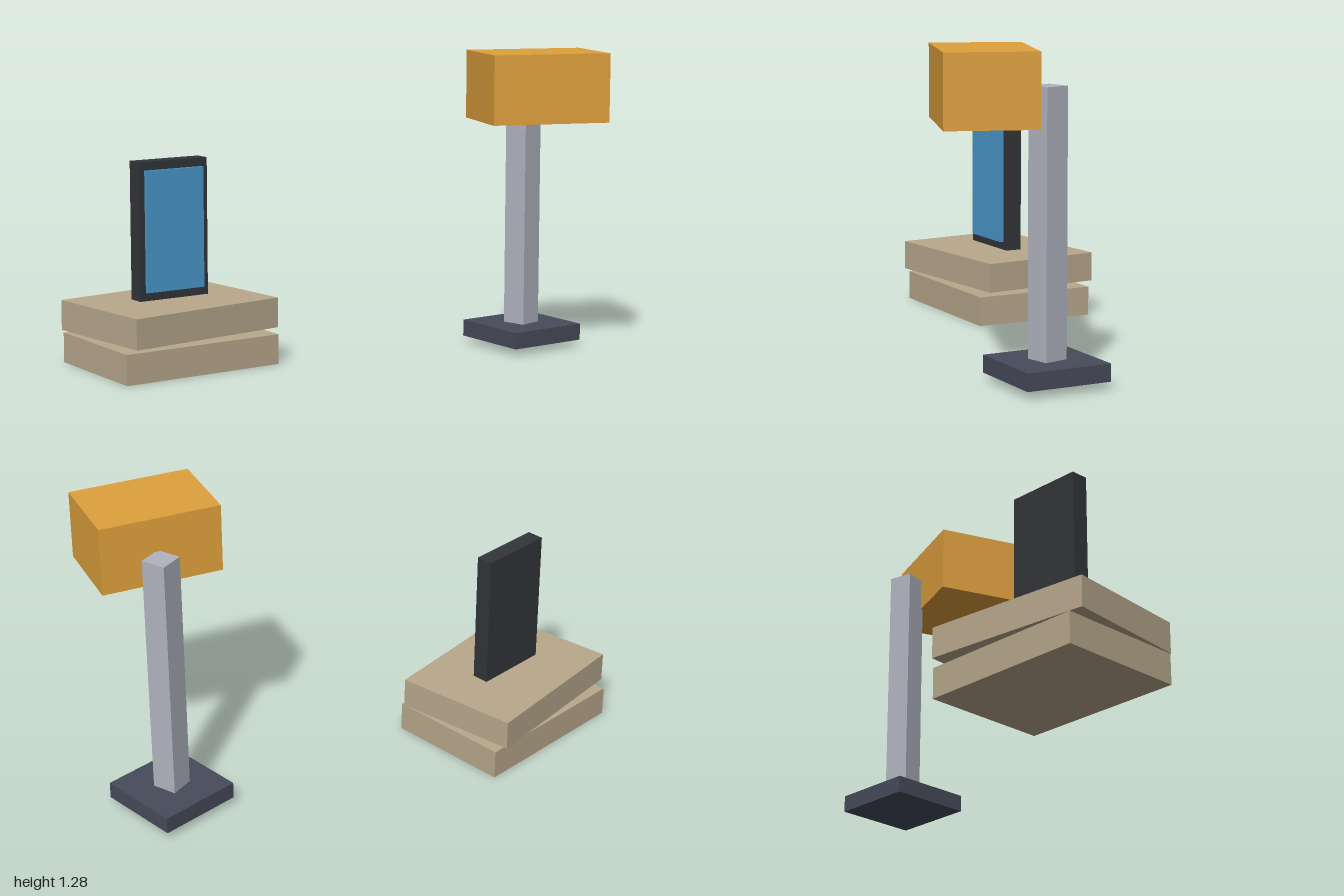
import * as THREE from 'three';

// One box part: size, centre, turn about the vertical axis
function block(name, color, size, centre, turn = 0) {
  const mesh = new THREE.Mesh(
    new THREE.BoxGeometry(...size),
    new THREE.MeshStandardMaterial({ color })
  );
  mesh.name = name;
  mesh.position.set(...centre);
  mesh.rotation.y = turn;
  return mesh;
}

function group(name, ...parts) {
  const g = new THREE.Group();
  g.name = name;
  g.add(...parts);
  return g;
}

export function createModel() {
  // Two stacked slabs, the upper one slightly turned
  const slab = [0.71, 0.125, 0.535];
  const stack = group('slabStack',
    block('lowerSlab', 0xb8a88c, slab, [-0.617, 0.0625, -0.352]),
    block('upperSlab', 0xb8a88c, slab, [-0.619, 0.208, -0.352], 0.1)
  );

  // Upright panel with a raised screen on its front
  const display = group('display',
    block('displayBody', 0x323539, [0.32, 0.57, 0.072], [-0.619, 0.565, -0.351]),
    block('displayScreen', 0x4a98cc, [0.268, 0.5, 0.016], [-0.619, 0.565, -0.307])
  );

  // Post on a flat foot, carrying an offset box head
  const lamp = group('lamp',
    block('lampFoot', 0x474b5a, [0.355, 0.07, 0.355], [0.809, 0.065, 0.188]),
    block('lampPost', 0xb0b4be, [0.104, 1.035, 0.104], [0.809, 0.6175, 0.185], 0.23),
    block('lampHead', 0xdea03c, [0.498, 0.283, 0.355], [0.7015, 1.1365, 0.3995], -0.35)
  );

  return group('model', stack, display, lamp);
}
